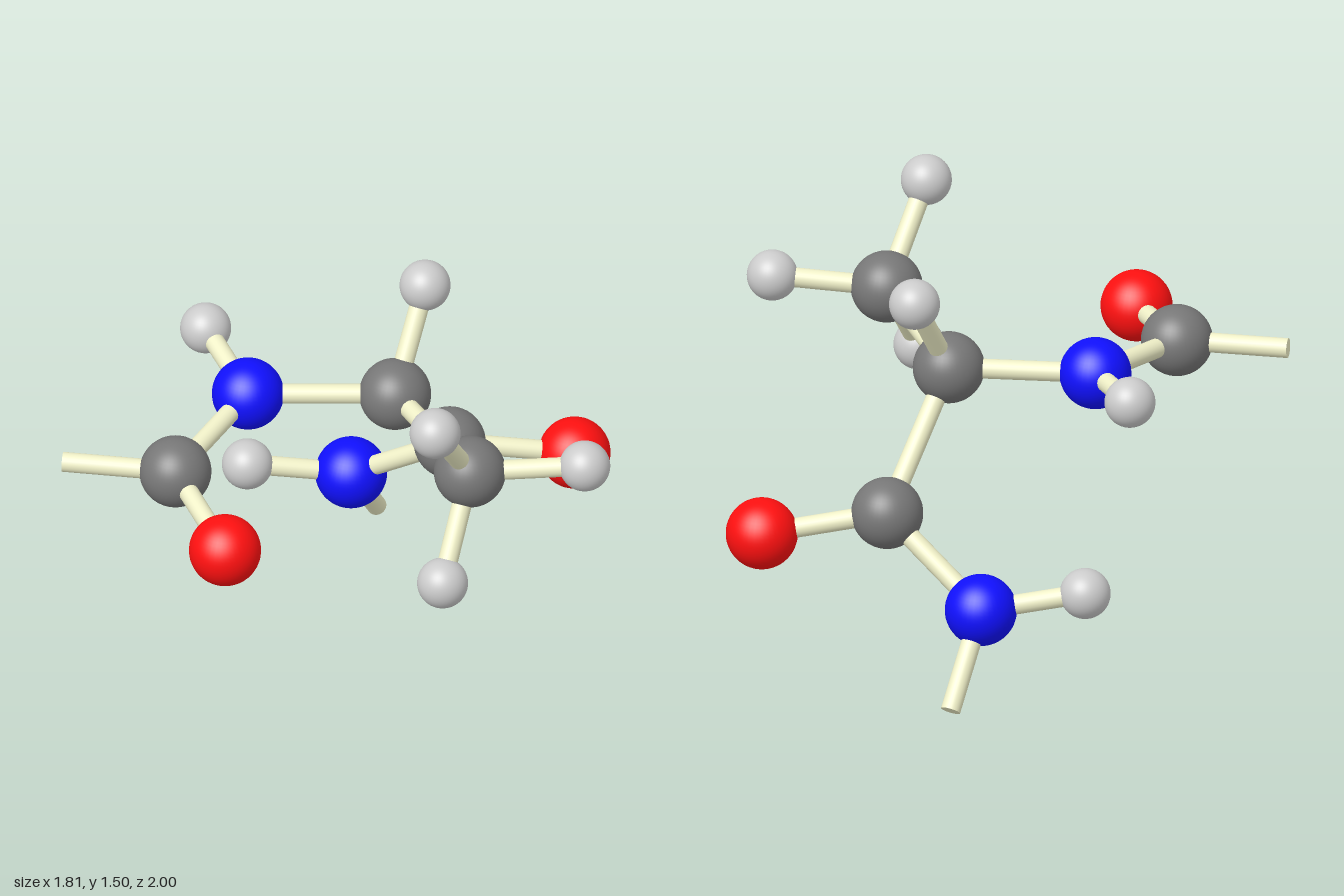
import * as THREE from 'three';

const mat = (color) => new THREE.MeshStandardMaterial({ color });

// Atom kinds: radius and colour
const KINDS = {
  carbon: { r: 0.13, material: mat(0x777777) },
  nitrogen: { r: 0.13, material: mat(0x1010ff) },
  oxygen: { r: 0.13, material: mat(0xff1010) },
  hydrogen: { r: 0.092, material: mat(0xcccccc) },
};
const BOND_RADIUS = 0.036;
const bondMaterial = mat(0xf0f0c8);

// Atom name: kind and centre
const ATOMS = {
  alphaCarbon: ['carbon', -0.08, 1.034, -0.154],
  alphaHydrogen: ['hydrogen', -0.144, 1.37, -0.374],
  methylCarbon: ['carbon', 0.51, 1.087, 0.066],
  methylHydrogenTop: ['hydrogen', 0.58, 1.411, 0.317],
  methylHydrogenSide: ['hydrogen', 0.81, 1.115, -0.219],
  methylHydrogenBottom: ['hydrogen', 0.601, 0.759, 0.3],
  backCarbon: ['carbon', -0.166, 0.598, -0.524],
  backOxygen: ['oxygen', 0.124, 0.522, -0.87],
  backNitrogen: ['nitrogen', -0.567, 0.322, -0.427],
  backHydrogen: ['hydrogen', -0.809, 0.384, -0.14],
  frontNitrogen: ['nitrogen', -0.463, 1.032, 0.212],
  frontHydrogen: ['hydrogen', -0.815, 1.079, 0.069],
  frontCarbon: ['carbon', -0.356, 0.982, 0.696],
  frontOxygen: ['oxygen', 0.063, 0.925, 0.87],
};

// Free ends of the two open bonds
const ENDS = {
  backOpenEnd: [-0.658, 0.022, -0.652],
  frontOpenEnd: [-0.683, 0.988, 0.942],
};

const BONDS = [
  ['alphaCarbon', 'alphaHydrogen'],
  ['alphaCarbon', 'methylCarbon'],
  ['alphaCarbon', 'backCarbon'],
  ['alphaCarbon', 'frontNitrogen'],
  ['methylCarbon', 'methylHydrogenTop'],
  ['methylCarbon', 'methylHydrogenSide'],
  ['methylCarbon', 'methylHydrogenBottom'],
  ['backCarbon', 'backOxygen'],
  ['backCarbon', 'backNitrogen'],
  ['backNitrogen', 'backHydrogen'],
  ['backNitrogen', 'backOpenEnd'],
  ['frontNitrogen', 'frontHydrogen'],
  ['frontNitrogen', 'frontCarbon'],
  ['frontCarbon', 'frontOxygen'],
  ['frontCarbon', 'frontOpenEnd'],
];

function pointOf(name) {
  return new THREE.Vector3(...(ENDS[name] ?? ATOMS[name].slice(1)));
}

function makeAtom(name) {
  const { r, material } = KINDS[ATOMS[name][0]];
  const atom = new THREE.Mesh(new THREE.SphereGeometry(r, 40, 28), material);
  atom.name = name;
  atom.position.copy(pointOf(name));
  return atom;
}

// Cylinder running from one centre to another
function makeBond(from, to) {
  const a = pointOf(from);
  const b = pointOf(to);
  const axis = b.clone().sub(a);
  const geometry = new THREE.CylinderGeometry(BOND_RADIUS, BOND_RADIUS, axis.length(), 24);
  const bond = new THREE.Mesh(geometry, bondMaterial);
  bond.name = `bond ${from} to ${to}`;
  bond.position.copy(a).add(b).multiplyScalar(0.5);
  bond.quaternion.setFromUnitVectors(new THREE.Vector3(0, 1, 0), axis.normalize());
  return bond;
}

export function createModel() {
  const model = new THREE.Group();
  model.name = 'ballAndStickMolecule';

  const atoms = new THREE.Group();
  atoms.name = 'atoms';
  for (const name of Object.keys(ATOMS)) atoms.add(makeAtom(name));

  const bonds = new THREE.Group();
  bonds.name = 'bonds';
  for (const [from, to] of BONDS) bonds.add(makeBond(from, to));

  model.add(atoms, bonds);
  return model;
}
